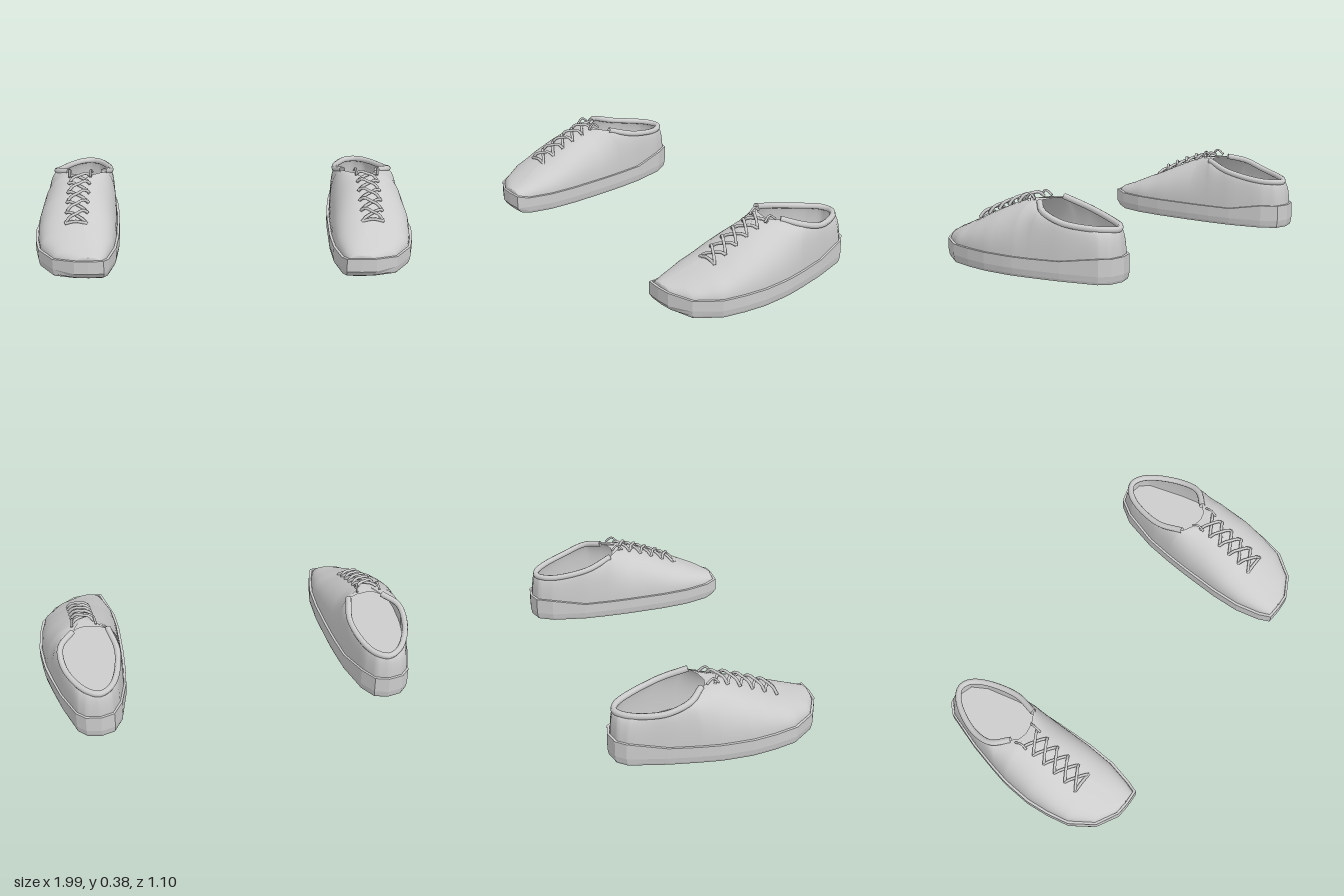
import * as THREE from 'three';

const grey = new THREE.MeshStandardMaterial({ color: 0xcccccc, side: THREE.DoubleSide });
grey.name = 'plain grey';

// Sole outline [x, z] with matching upper edge: a z on the instep ridge, or a collar point [x, y, z]
const OUTLINE = [
  [0.69, 0.545, 0.53], [0.612, 0.54, 0.52], [0.59, 0.48, 0.47], [0.56, 0.35, 0.36],
  [0.553, 0.2, 0.2], [0.56, 0, 0.02], [0.565, -0.08, [0.70, 0.345, -0.05]],
  [0.57, -0.14, [0.645, 0.34, -0.1]], [0.585, -0.27, [0.617, 0.295, -0.24]],
  [0.63, -0.45, [0.655, 0.257, -0.42]], [0.68, -0.53, [0.70, 0.25, -0.49]],
  [0.75, -0.55, [0.747, 0.247, -0.512]], [0.826, -0.535, [0.79, 0.25, -0.495]],
  [0.87, -0.49, [0.84, 0.255, -0.44]], [0.93, -0.3, [0.9, 0.275, -0.3]],
  [0.965, -0.15, [0.9, 0.315, -0.18]], [0.975, -0.1, [0.83, 0.34, -0.1]],
  [0.985, -0.05, [0.80, 0.345, -0.05]], [0.99, 0, 0.02], [0.997, 0.12, 0.12],
  [0.985, 0.24, 0.23], [0.96, 0.36, 0.36], [0.875, 0.48, 0.46], [0.762, 0.54, 0.52],
];

const { lerp } = THREE.MathUtils;

// Instep ridge [z, x, y] from toe to throat
const RIDGE = [[0.53, 0.69, 0.125], [0.46, 0.692, 0.15], [0.36, 0.715, 0.195], [0.3, 0.73, 0.218],
  [0.2, 0.748, 0.265], [0.1, 0.758, 0.308], [0.02, 0.765, 0.337], [-0.1, 0.765, 0.352]];

function ridge(z) {
  let i = 0;
  while (i < RIDGE.length - 2 && z < RIDGE[i + 1][0]) i++;
  const [a, b] = [RIDGE[i], RIDGE[i + 1]];
  const t = (a[0] - z) / (a[0] - b[0]);
  return [lerp(a[1], b[1], t), lerp(a[2], b[2], t), z];
}

// Shrinks an outline point towards the middle of the shoe
const inset = (x, z, k) => [0.77 + (x - 0.77) * (1 - k / 0.22), z * (1 - k / 0.55)];

// Skins closed rings, listed from the bottom up
function loft(rings) {
  const n = rings[0].length;
  const index = [];
  for (let r = 0; r < rings.length - 1; r++) {
    for (let j = 0; j < n; j++) {
      const a = r * n + j, b = r * n + (j + 1) % n;
      index.push(b, a, a + n, b, a + n, b + n);
    }
  }
  const g = new THREE.BufferGeometry();
  g.setAttribute('position', new THREE.Float32BufferAttribute(rings.flat(2), 3));
  g.setIndex(index);
  g.computeVertexNormals();
  return g;
}

// Thick sole: bevelled underneath, raised at heel and toe, with a narrow lip
function soleGeometry() {
  const topY = (z) => 0.095 + 0.03 * THREE.MathUtils.smoothstep(-z, 0.27, 0.42)
    + 0.015 * THREE.MathUtils.smoothstep(z, 0.5, 0.545);
  const ring = (k, y, toeCut = 0) => OUTLINE.map(([x, z]) => {
    const [px, pz] = inset(x, z, k);
    return [px, y === null ? topY(z) : y, pz - (z > 0.5 ? toeCut : 0)];
  });
  const point = (y) => OUTLINE.map(() => [0.77, y, 0]);
  const g = loft([point(0), ring(0.01, 0, 0.03), ring(0.005, 0.012, 0.015), ring(0, 0.04),
    ring(0, null), ring(0.013, null), ring(0.015, 0.085), point(0.085)]).toNonIndexed();
  g.computeVertexNormals();
  return g;
}

// Upper: arches from the sole to the ridge in front and to the collar behind
function upperGeometry() {
  const SUB = 4, ROWS = 12;
  const low = [], high = [];
  OUTLINE.forEach((p, i) => {
    const q = OUTLINE[(i + 1) % OUTLINE.length];
    for (let s = 0; s < SUB; s++) {
      const t = s / SUB;
      low.push(inset(lerp(p[0], q[0], t), lerp(p[1], q[1], t), 0.014));
      if (!Array.isArray(p[2]) && !Array.isArray(q[2])) {
        high.push(ridge(lerp(p[2], q[2], t)));
      } else {
        const [a, b] = [p[2], q[2]].map((e) => (Array.isArray(e) ? e : ridge(e)));
        high.push(a.map((v, c) => lerp(v, b[c], t)));
      }
    }
  });
  const rings = [];
  for (let r = 0; r <= ROWS; r++) {
    const a = (r / ROWS) * Math.PI / 2;
    const h = Math.pow(1 - Math.cos(a), 1.2), v = Math.sin(a);
    rings.push(low.map(([x, z], j) => [lerp(x, high[j][0], h), lerp(0.085, high[j][1], v), lerp(z, high[j][2], h)]));
  }
  return loft(rings);
}

function tube(points, radius, segments, sides) {
  const curve = new THREE.CatmullRomCurve3(points.map((p) => new THREE.Vector3(...p)));
  return new THREE.TubeGeometry(curve, segments, radius, sides);
}

// Padded collar around the foot opening
function collarGeometry() {
  const pts = OUTLINE.map((p) => p[2]).filter((e) => Array.isArray(e) && e[2] <= -0.1);
  return tube(pts.map(([x, y, z]) => [x, y + 0.003, z]), 0.016, 48, 8);
}

// Tongue closing the notch between the collar ends
function tongueGeometry() {
  const pts = [[0.645, -0.1], [0.70, -0.07], [0.76, -0.06], [0.80, -0.07], [0.83, -0.1], [0.80, -0.04], [0.765, 0.03], [0.70, -0.04]];
  const g = new THREE.ShapeGeometry(new THREE.Shape(pts.map((p) => new THREE.Vector2(...p))));
  return g.rotateX(Math.PI / 2).translate(0, 0.338, 0);
}

// Criss-cross laces, a straight bar at the bottom and two loose ends at the top
function laceGeometries() {
  const COUNT = 5, Z0 = 0.305, STEP = 0.066;
  const at = (side, z, lift) => {
    const [, y] = ridge(z);
    return [0.765 + side * 0.057, y + lift, z];
  };
  const list = [tube([at(-1, Z0, 0), at(0, Z0, 0.012), at(1, Z0, 0)], 0.008, 8, 6)];
  for (let i = 0; i < COUNT; i++) {
    const z = Z0 - i * STEP, end = z - STEP;
    for (const s of [-1, 1]) {
      const lift = s > 0 ? 0.026 : 0.016;
      list.push(tube([at(s, z, -0.004), at(s * 0.6, z - STEP * 0.2, lift - 0.004), at(0, z - STEP / 2, lift),
        at(-s * 0.6, z - STEP * 0.8, lift), at(-s, end, 0.002)], 0.008, 12, 6));
    }
  }
  const top = Z0 - COUNT * STEP;
  for (const s of [-1, 1]) {
    list.push(tube([at(s, top + 0.02, 0.008), at(s, top - 0.01, 0.032), at(s * 1.1, top - 0.045, 0.004)], 0.006, 8, 6));
  }
  return list;
}

// Reflects a geometry across x = 0 and keeps its faces turned outwards
function mirrored(geometry) {
  const g = geometry.index ? geometry.toNonIndexed() : geometry.clone();
  for (const name of ['position', 'normal']) {
    const attr = g.getAttribute(name);
    for (let i = 0; i < attr.count; i += 3) {
      const v = [0, 2, 1].map((k) => [-attr.getX(i + k), attr.getY(i + k), attr.getZ(i + k)]);
      v.forEach((p, k) => attr.setXYZ(i + k, ...p));
    }
  }
  return g;
}

export function createModel() {
  const model = new THREE.Group();
  model.name = 'pairOfShoes';
  const parts = [['sole', soleGeometry()], ['upper', upperGeometry()], ['collar', collarGeometry()],
    ['tongue', tongueGeometry()], ...laceGeometries().map((g) => ['lace', g])];
  for (const side of ['left', 'right']) {
    const shoe = new THREE.Group();
    shoe.name = `${side}Shoe`;
    for (const [name, g] of parts) {
      const mesh = new THREE.Mesh(side === 'left' ? g : mirrored(g), grey);
      mesh.name = name;
      shoe.add(mesh);
    }
    model.add(shoe);
  }
  return model;
}
